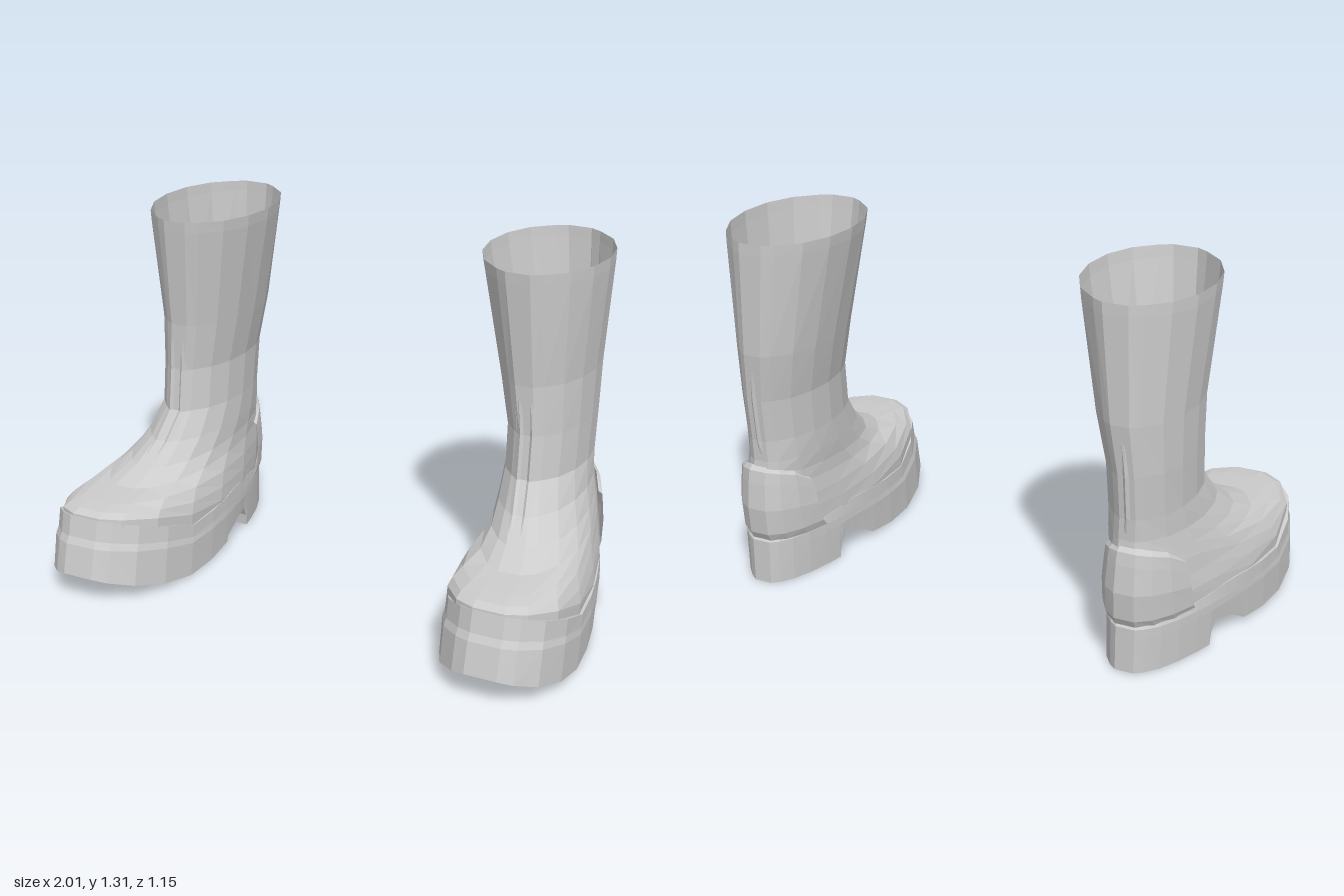
import * as THREE from 'three';

const material = new THREE.MeshStandardMaterial({ color: 0xcccccc, flatShading: true, side: THREE.DoubleSide });

// Piecewise value along a list of [position, value] pairs, positions falling.
function along(table, t) {
  for (let i = 1; i < table.length; i++) {
    const [a, va] = table[i - 1], [b, vb] = table[i];
    if (t >= b) return THREE.MathUtils.lerp(vb, va, (t - b) / (a - b));
  }
  return table[table.length - 1][1];
}

// One side point of an egg-shaped section; t runs from 0 (heel) to 1 (toe).
function sectionPoint(r, t, side) {
  const { lerp } = THREE.MathUtils;
  const round = Math.max(0.2, Math.pow(2 * Math.sqrt(Math.max(0, t * (1 - t))), r.power));
  const x = lerp(r.c[0], r.c[1], t) + side * round * lerp(r.w[0], r.w[1], t);
  return [x, along(r.y, t), lerp(r.zb, r.zf, t)];
}

// Closed ring: down the outer side to the heel, back up the inner side.
function closedRing(r, stations) {
  return [
    ...stations.map(t => sectionPoint(r, t, 1)),
    ...[...stations].reverse().map(t => sectionPoint(r, t, -1)),
  ];
}

function loft(name, rows, closed, caps = []) {
  const n = rows[0].length, index = [];
  for (let r = 0; r + 1 < rows.length; r++) {
    for (let i = 0; i < (closed ? n : n - 1); i++) {
      const a = r * n + i, b = r * n + (i + 1) % n;
      index.push(a, b, b + n, a, b + n, a + n);
    }
  }
  // Caps are strips across the ring, from the outer to the inner side
  for (const [row, up] of caps) {
    for (let i = 0; i + 1 < n / 2; i++) {
      const a = row * n + i, b = a + 1, d = row * n + n - 1 - i, c = d - 1;
      if (up) index.push(a, b, c, a, c, d);
      else index.push(a, c, b, a, d, c);
    }
  }
  const geometry = new THREE.BufferGeometry();
  geometry.setAttribute('position', new THREE.Float32BufferAttribute(rows.flat(2), 3));
  geometry.setIndex(index);
  const flat = geometry.toNonIndexed();
  flat.computeVertexNormals();
  const mesh = new THREE.Mesh(flat, material);
  mesh.name = name;
  return mesh;
}

// Sections of the upper: toe, middle and heel height, front and back z,
// centre x and half width at heel and toe, roundness
const upperSections = [
  [0.285, 0.17, 0.16, 0.51, -0.525, 0.71, 0.785, 0.16, 0.28, 0.8],
  [0.315, 0.215, 0.2, 0.507, -0.535, 0.71, 0.785, 0.165, 0.28, 0.8],
  [0.328, 0.26, 0.25, 0.475, -0.543, 0.71, 0.78, 0.165, 0.263, 0.8],
  [0.335, 0.31, 0.31, 0.41, -0.543, 0.705, 0.775, 0.16, 0.235, 0.82],
  [0.343, 0.355, 0.38, 0.28, -0.535, 0.705, 0.765, 0.153, 0.2, 0.85],
  [0.388, 0.405, 0.43, 0.17, -0.527, 0.703, 0.745, 0.147, 0.175, 0.9],
  [0.46, 0.47, 0.48, 0.08, -0.522, 0.7, 0.72, 0.143, 0.155, 0.95],
  [0.56, 0.56, 0.56, 0.004, -0.525, 0.702, 0.702, 0.14, 0.14, 1],
  [0.72, 0.72, 0.72, -0.015, -0.545, 0.7, 0.7, 0.143, 0.143, 1],
  [0.9, 0.9, 0.9, -0.01, -0.568, 0.683, 0.683, 0.163, 0.163, 1],
  [1.27, 1.27, 1.27, 0.031, -0.576, 0.662, 0.662, 0.215, 0.215, 1],
  [1.312, 1.312, 1.308, 0.035, -0.576, 0.66, 0.66, 0.219, 0.219, 1],
].map(([yt, ym, yb, zf, zb, c0, c1, w0, w1, power]) => (
  { y: [[1, yt], [0.9, yt * 0.85 + ym * 0.15], [0.62, ym], [0, yb]], zf, zb, c: [c0, c1], w: [w0, w1], power }));

function makeUpper() {
  const stations = Array.from({ length: 9 }, (_, i) => (1 + Math.cos(Math.PI * i / 8)) / 2);
  return loft('upperAndShaft', upperSections.map(r => closedRing(r, stations)), true);
}

// Underside from toe to heel, as [z, y]: toe spring, tread step, arch, heel block
const underside = [
  [0.575, 0.1], [0.55, 0.086], [0.48, 0.06], [0.36, 0.026], [0.22, 0.001], [0.08, 0.004],
  [-0.03, 0.018], [-0.053, 0.021], [-0.056, 0.042], [-0.1, 0.058], [-0.17, 0.078], [-0.222, 0.088],
  [-0.245, 0.045], [-0.25, 0], [-0.32, 0], [-0.4, 0], [-0.47, 0], [-0.515, 0], [-0.537, 0],
];

function makeSole() {
  const bottom = underside.map(([z, y]) => [(z + 0.537) / 1.112, y]);
  const stations = bottom.map(p => p[0]);
  const level = (y, zf, zb, w0, w1) => ({ y, zf, zb, c: [0.71, 0.79], w: [w0, w1], power: 0.8 });
  const rows = [
    level(bottom, 0.575, -0.537, 0.165, 0.293),
    level([[1, 0.21], [0.67, 0.125], [0.35, 0.14], [0, 0.13]], 0.547, -0.537, 0.17, 0.293),
    level([[1, 0.235], [0.67, 0.145], [0.35, 0.165], [0, 0.165]], 0.532, -0.537, 0.17, 0.287),
    level([[1, 0.31], [0.67, 0.19], [0.35, 0.215], [0, 0.18]], 0.514, -0.525, 0.165, 0.287),
  ];
  return loft('soleAndHeel', rows.map(r => closedRing(r, stations)), true, [[0, false], [3, true]]);
}

// Raised counter wrapped around the back, its top edge falling forward
function makeHeelCounter() {
  const arc = [0.2, 0.11, 0.04, 0];
  const rows = [
    [0.17, 0.17, -0.53, 0.168, 0.006], [0.2, 0.2, -0.546, 0.17, 0.01],
    [0.3, 0.28, -0.557, 0.165, 0.012], [0.4, 0.34, -0.547, 0.157, 0.012],
    [0.445, 0.375, -0.54, 0.152, 0.01], [0.46, 0.385, -0.522, 0.145, 0],
  ].map(([yBack, ySide, zb, w, grow], i) => {
    const r = {
      y: [[0.2, ySide], [0.11, yBack * 0.6 + ySide * 0.4], [0, yBack]],
      zf: 0.5 - i * 0.07, zb, c: [0.708, 0.765], w: [w + grow, 0.255 - i * 0.013 + grow], power: 0.82,
    };
    return closedRing(r, arc);
  });
  return loft('heelCounter', rows, false);
}

// Narrow raised folds running over the instep and up the back
function makeFold(name, from, to, isFront, offset) {
  const rows = upperSections.slice(from, to).map((r, i, list) => {
    const lift = i === 0 || i === list.length - 1 ? -0.004 : 0.009;
    const x = r.c[isFront ? 1 : 0] + offset, y = r.y[isFront ? 0 : 3][1];
    const z = isFront ? r.zf : r.zb, out = isFront ? 1 : -1;
    return [[x - 0.017, y, z - out * 0.006], [x, y, z + out * lift], [x + 0.017, y, z - out * 0.006]];
  });
  return loft(name, rows, false);
}

function makeBoot(name) {
  const boot = new THREE.Group();
  boot.name = name;
  boot.add(makeUpper(), makeSole(), makeHeelCounter());
  for (const offset of [-0.022, 0.022]) boot.add(makeFold('instepFold', 5, 10, true, offset));
  boot.add(makeFold('backSeam', 6, 10, false, 0));
  return boot;
}

export function createModel() {
  const model = new THREE.Group();
  model.name = 'pairOfBoots';
  const left = makeBoot('leftBoot');
  const right = makeBoot('rightBoot');
  right.scale.x = -1;
  model.add(left, right);
  return model;
}
